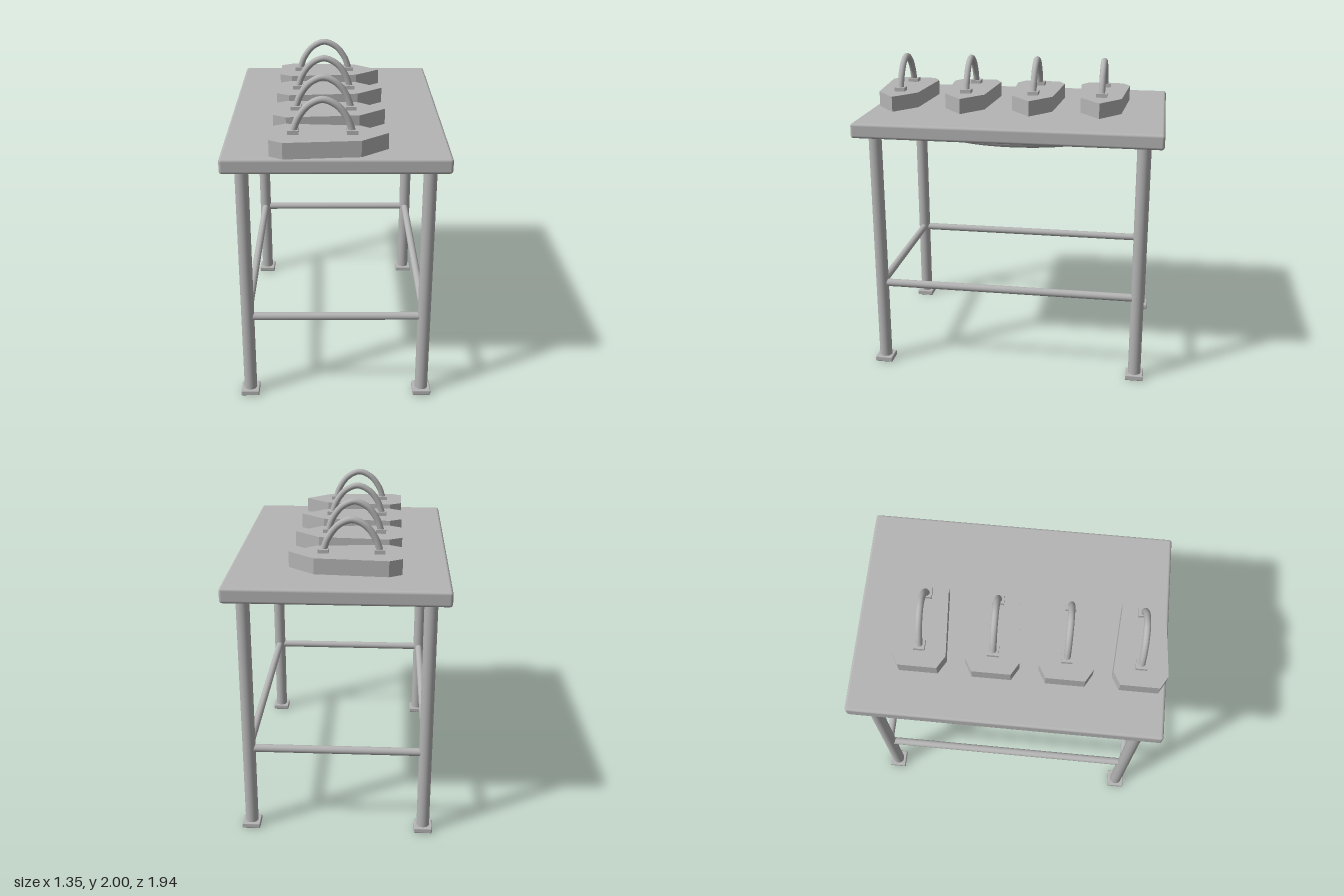
import * as THREE from 'three';
import { RoundedBoxGeometry } from 'three/addons/geometries/RoundedBoxGeometry.js';

export function createModel() {
  const model = new THREE.Group();
  model.name = 'ironTable';
  const grey = new THREE.MeshStandardMaterial({ color: 0xb4b4b4 });
  grey.name = 'plain grey';

  const add = (parent, name, geometry, x = 0, y = 0, z = 0) => {
    const mesh = new THREE.Mesh(geometry, grey);
    mesh.name = name;
    mesh.position.set(x, y, z);
    parent.add(mesh);
    return mesh;
  };

  // Table top
  add(model, 'tableTop', new RoundedBoxGeometry(1.35, 0.095, 1.94, 3, 0.018), 0, 1.628, 0);

  // Legs with square feet
  const legX = 0.557, legZ = 0.847;
  const legGeo = new THREE.CylinderGeometry(0.041, 0.041, 1.57, 32);
  const footGeo = new RoundedBoxGeometry(0.116, 0.035, 0.116, 2, 0.006);
  for (const sx of [-1, 1]) {
    for (const sz of [-1, 1]) {
      add(model, 'leg', legGeo, sx * legX, 0.805, sz * legZ);
      add(model, 'foot', footGeo, sx * legX, 0.0175, sz * legZ);
    }
  }

  // Rails joining the legs on all four sides
  const railY = 0.567;
  for (const s of [-1, 1]) {
    const cross = add(model, 'crossRail',
      new THREE.CylinderGeometry(0.025, 0.025, legX * 2, 24), 0, railY, s * legZ);
    cross.rotation.z = Math.PI / 2;
    const side = add(model, 'sideRail',
      new THREE.CylinderGeometry(0.025, 0.025, legZ * 2, 24), s * legX, railY, 0);
    side.rotation.x = Math.PI / 2;
  }

  // Oval ring hung under the top on two posts
  const oval = [];
  for (let i = 0; i < 48; i++) {
    const a = (i / 48) * Math.PI * 2;
    oval.push(new THREE.Vector3(0.317 * Math.cos(a), 0, 0.519 * Math.sin(a)));
  }
  const ovalCurve = new THREE.CatmullRomCurve3(oval, true);
  add(model, 'ovalRing', new THREE.TubeGeometry(ovalCurve, 96, 0.037, 16, true), 0, 1.507, 0);
  const postGeo = new THREE.CylinderGeometry(0.028, 0.028, 0.1, 20);
  for (const s of [-1, 1]) add(model, 'ringPost', postGeo, s * 0.315, 1.535, 0);

  // Flat iron body: pointed outline extruded upward
  const outline = [
    [-0.387, -0.12], [-0.306, -0.167], [0.147, -0.133], [0.31, 0],
    [0.147, 0.133], [-0.306, 0.167], [-0.387, 0.12],
  ].map(([x, y]) => new THREE.Vector2(x, y));
  const bodyGeo = new THREE.ExtrudeGeometry(new THREE.Shape(outline), { depth: 0.1, bevelEnabled: false });
  bodyGeo.rotateX(-Math.PI / 2);

  // Arched handle and its mounting blocks
  const handleX = -0.077;
  const arch = new THREE.CatmullRomCurve3([
    [-0.174, 0.11], [-0.143, 0.192], [-0.083, 0.269], [0, 0.304],
    [0.083, 0.269], [0.143, 0.192], [0.174, 0.11],
  ].map(([x, y]) => new THREE.Vector3(x, y, 0)));
  const handleGeo = new THREE.TubeGeometry(arch, 48, 0.021, 16);
  const blockGeo = new THREE.BoxGeometry(0.066, 0.026, 0.07);

  for (let i = 0; i < 4; i++) {
    const iron = new THREE.Group();
    iron.name = 'iron';
    iron.position.set(0, 1.675, 0.802 - i * 0.4515);
    add(iron, 'ironBody', bodyGeo);
    add(iron, 'ironHandle', handleGeo, handleX);
    for (const s of [-1, 1]) add(iron, 'handleBlock', blockGeo, handleX + s * 0.173, 0.111, 0);
    model.add(iron);
  }
  return model;
}
